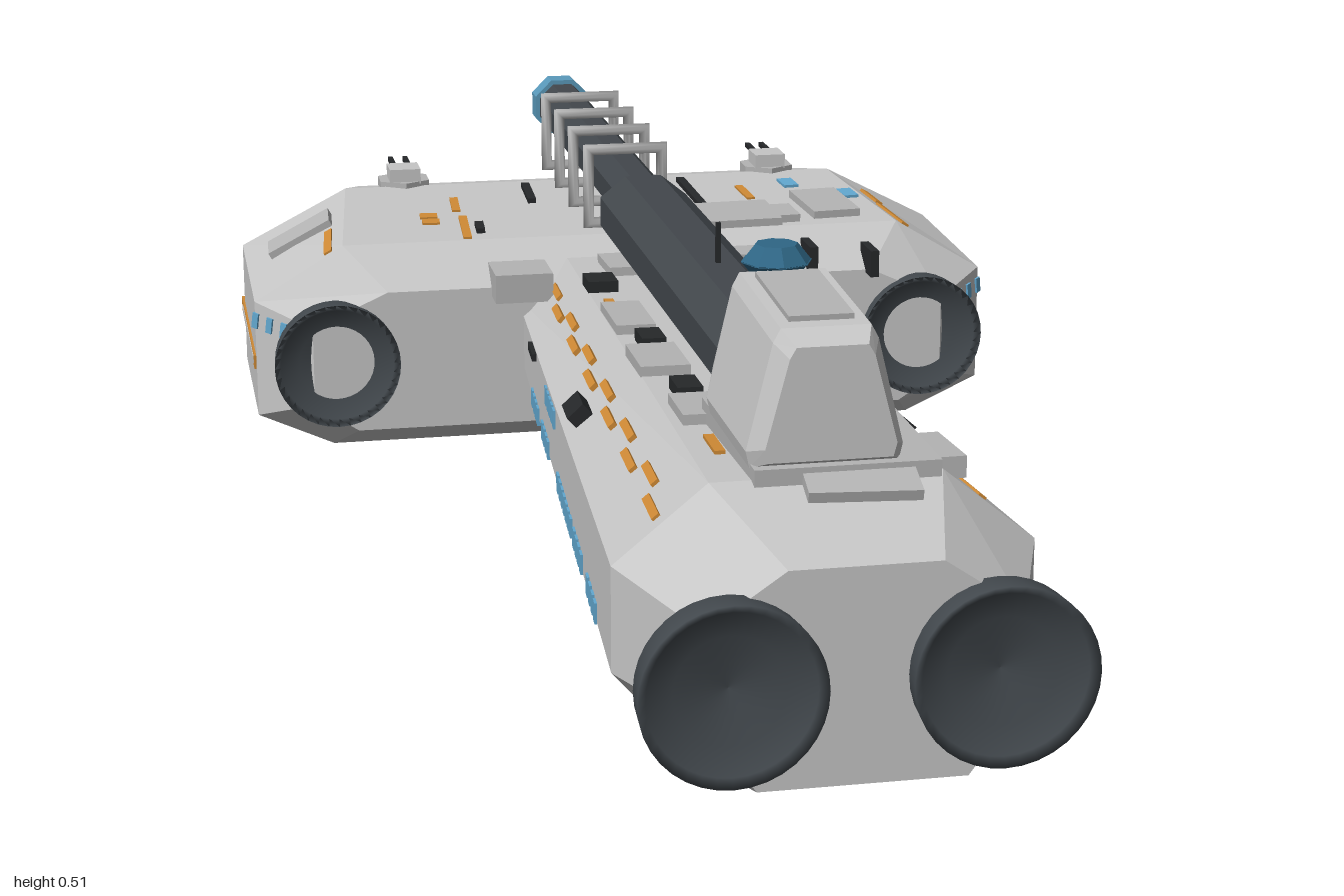
import * as THREE from 'three';

const mat = (name, color, extra = {}) => {
  const m = new THREE.MeshStandardMaterial({ color, ...extra });
  m.name = name;
  return m;
};

// Eight-sided section: half widths and heights listed from bottom to top
const oct = (z, [b, l, u, t], [yb, yl, yu, yt]) => [
  [l, yl], [u, yu], [t, yt], [-t, yt], [-u, yu], [-l, yl], [-b, yb], [b, yb],
].map(([x, y]) => new THREE.Vector3(x, y, z));

// Skin a list of sections ordered from front to back, with flat end caps
function loft(rings) {
  const pos = [];
  const tri = (...pts) => pts.forEach((p) => pos.push(p.x, p.y, p.z));
  const n = rings[0].length;
  for (let r = 0; r < rings.length - 1; r++) {
    const a = rings[r], b = rings[r + 1];
    for (let i = 0; i < n; i++) {
      const j = (i + 1) % n;
      tri(a[i], b[i], b[j]);
      tri(a[i], b[j], a[j]);
    }
  }
  const f = rings[0], e = rings[rings.length - 1];
  for (let i = 1; i < n - 1; i++) {
    tri(f[0], f[i], f[i + 1]);
    tri(e[0], e[i + 1], e[i]);
  }
  const g = new THREE.BufferGeometry();
  g.setAttribute('position', new THREE.Float32BufferAttribute(pos, 3));
  g.computeVertexNormals();
  return g;
}

// Point and orientation on a hull side at depth z, u across that side
function patch(rings, edge, z, u) {
  let r = 0;
  while (r < rings.length - 2 && rings[r + 1][0].z > z) r++;
  const a = rings[r], b = rings[r + 1], j = (edge + 1) % 8;
  const t = (z - a[0].z) / (b[0].z - a[0].z);
  const p = a[edge].clone().lerp(b[edge], t), q = a[j].clone().lerp(b[j], t);
  const Z = a[edge].clone().lerp(a[j], u).sub(b[edge].clone().lerp(b[j], u)).normalize();
  const Y = Z.clone().cross(p.clone().sub(q)).normalize();
  const X = Y.clone().cross(Z);
  return { p, q, at: p.clone().lerp(q, u), m: new THREE.Matrix4().makeBasis(X, Y, Z) };
}

export function createModel() {
  const root = new THREE.Group();
  root.name = 'spaceship';
  const hull = mat('hull grey', 0xc6c6c6);
  const panel = mat('panel grey', 0xb4b4b4);
  const gun = mat('gunmetal', 0x42474c);
  const nozzle = mat('nozzle grey', 0x42484d, { side: THREE.DoubleSide });
  const black = mat('black', 0x26282a);
  const blue = mat('window blue', 0x62a8d0);
  const teal = mat('muzzle blue', 0x5a9abc);
  const navy = mat('dome blue', 0x2f6685);
  const orange = mat('stripe orange', 0xcf8a35);

  const add = (name, geo, m, x = 0, y = 0, z = 0) => {
    const mesh = new THREE.Mesh(geo, m);
    mesh.name = name;
    mesh.position.set(x, y, z);
    root.add(mesh);
    return mesh;
  };
  const box = (name, m, w, h, d, x, y, z) => add(name, new THREE.BoxGeometry(w, h, d), m, x, y, z);
  // Box lying on a hull side: across, thickness, along
  const onSide = (name, m, rings, edge, z, u, w, h, d) => {
    const f = patch(rings, edge, z, u);
    const b = box(name, m, w, h, d, f.at.x, f.at.y, f.at.z);
    b.quaternion.setFromRotationMatrix(f.m);
    return b;
  };
  // Box lying on the upper sides, found by x and z
  const onTop = (name, m, rings, x, z, w, h, d) => {
    for (const e of [1, 2, 3]) {
      const { p, q } = patch(rings, e, z, 0.5);
      if (x <= p.x && x >= q.x) return onSide(name, m, rings, e, z, (p.x - x) / (p.x - q.x), w, h, d);
    }
  };

  // Hulls
  const spine = [
    oct(0.97, [0.11, 0.165, 0.165, 0.08], [0.05, 0.125, 0.225, 0.283]),
    oct(0.8, [0.13, 0.228, 0.228, 0.125], [0.01, 0.12, 0.238, 0.322]),
    oct(-0.45, [0.09, 0.148, 0.148, 0.085], [0.05, 0.13, 0.2, 0.272]),
  ];
  const block = [
    oct(-0.33, [0.39, 0.45, 0.45, 0.345], [0.05, 0.09, 0.2, 0.247]),
    oct(-0.4, [0.42, 0.525, 0.525, 0.4], [0.012, 0.06, 0.225, 0.3]),
    oct(-0.7, [0.42, 0.525, 0.525, 0.37], [0.012, 0.06, 0.235, 0.315]),
    oct(-0.825, [0.4, 0.48, 0.48, 0.34], [0.035, 0.08, 0.225, 0.29]),
  ];
  add('spineHull', loft(spine), hull);
  add('rearHull', loft(block), hull);

  // Engine bells, open to the front with a shallow dish inside
  const bell = (x, y, z, r) => {
    const pts = [[0, -0.12], [0.62, -0.12], [0.66, -0.1], [0.86, -0.065], [0.97, -0.04], [1, 0],
      [0.9, -0.008], [0.6, -0.02], [0, -0.03]].map(([a, h]) => new THREE.Vector2(a * r, h));
    add('engineBell', new THREE.LatheGeometry(pts, 36), nozzle, x, y, z).rotation.x = Math.PI / 2;
  };
  for (const s of [-1, 1]) {
    bell(s * 0.14, 0.165, 1, 0.097);
    bell(s * 0.418, 0.15, -0.31, 0.087);
  }

  // Main gun
  const tube = (name, m, r, sides, z0, z1, y, sy = 1) => {
    const g = new THREE.CylinderGeometry(r, r, z0 - z1, sides).toNonIndexed();
    g.rotateY(Math.PI / sides).rotateX(Math.PI / 2).scale(1, sy, 1);
    g.computeVertexNormals();
    return add(name, g, m, 0, y, (z0 + z1) / 2);
  };
  tube('gunSleeve', gun, 0.064, 8, 0.6, -0.25, 0.368, 0.8);
  tube('gunBarrel', gun, 0.039, 8, -0.25, -0.965, 0.376);
  tube('gunMuzzle', teal, 0.046, 8, -0.96, -1, 0.376);
  for (const z of [-0.39, -0.525, -0.655, -0.785]) {
    const g = new THREE.TorusGeometry(0.074, 0.011, 8, 4).rotateZ(Math.PI / 4);
    add('barrelFrame', g, panel, 0, 0.372, z);
  }
  add('turret', loft([
    oct(0.82, [0.066, 0.07, 0.045, 0.038], [0.345, 0.36, 0.455, 0.467]),
    oct(0.79, [0.08, 0.084, 0.056, 0.048], [0.332, 0.35, 0.465, 0.48]),
    oct(0.59, [0.08, 0.084, 0.056, 0.048], [0.332, 0.35, 0.475, 0.49]),
    oct(0.53, [0.06, 0.064, 0.046, 0.038], [0.36, 0.37, 0.445, 0.455]),
  ]), hull);
  box('turretRoof', panel, 0.07, 0.008, 0.16, 0, 0.487, 0.69).rotation.x = 0.05;
  box('turretBase', panel, 0.2, 0.03, 0.27, 0.02, 0.322, 0.68);
  const dome = new THREE.CylinderGeometry(0.024, 0.04, 0.02, 8).toNonIndexed();
  dome.computeVertexNormals();
  add('sensorDome', dome, navy, 0, 0.503, 0.56);
  const domeBase = new THREE.CylinderGeometry(0.04, 0.025, 0.018, 8).toNonIndexed();
  domeBase.computeVertexNormals();
  add('sensorBase', domeBase, navy, 0, 0.485, 0.56);
  box('antenna', black, 0.006, 0.06, 0.006, 0, 0.435, 0.25);

  // Window rows and dashed stripes on both flanks of the spine
  const rows = [[0.65, 4, 0.1], [0.495, 4, 0.1], [0.37, 7, 0.1], [0.065, 4, 0.08], [-0.09, 4, 0.05], [0.155, 5, 0.82]];
  for (const edge of [0, 4]) {
    const flip = (u) => (edge === 0 ? u : 1 - u);
    for (const [z, n, u] of rows)
      for (let i = 0; i < n; i++)
        onSide('window', blue, spine, edge, z - i * 0.027, flip(u), 0.024, 0.006, 0.017);
    for (let i = 0; i < 12; i++)
      onSide('spineStripe', orange, spine, edge ? 3 : 1, 0.74 - i * 0.092, flip(i % 2 ? 0.62 : 0.5), 0.01, 0.006, 0.075);
    onSide('flankHatch', black, spine, edge ? 3 : 1, 0.27, flip(0.25), 0.026, 0.03, 0.065);
    onSide('flankVent', black, spine, edge, -0.15, flip(0.92), 0.01, 0.012, 0.07);
    onSide('flankPort', panel, spine, edge ? 5 : 7, 0.48, edge ? 0.2 : 0.8, 0.015, 0.01, 0.04);
    for (let i = 0; i < 3; i++)
      onSide('rearWindow', blue, block, edge, -0.365 - i * 0.017, flip(0.84), 0.022, 0.006, 0.01);
    // Side stripe with an inset panel
    onSide('sideStripe', orange, block, edge, -0.57, 0.55, 0.02, 0.006, 0.32);
    onSide('sideStripePanel', hull, block, edge, -0.56, 0.55, 0.01, 0.008, 0.27);
  }

  // Raised plates and dark equipment on the spine: x, z, width, length
  for (const [x, z, w, d] of [
    [0.1, -0.04, 0.07, 0.09], [0.09, -0.2, 0.06, 0.1], [0.105, 0.1, 0.06, 0.06], [0.105, 0.21, 0.09, 0.16],
    [0.1, 0.4, 0.07, 0.12], [0.11, 0.75, 0.08, 0.1], [0.03, 0.83, 0.12, 0.05], [-0.08, 0.28, 0.06, 0.12],
    [-0.075, 0.05, 0.05, 0.14], [-0.08, 0.52, 0.05, 0.1], [0.1, 0.6, 0.05, 0.09], [0, -0.28, 0.1, 0.1],
  ]) onTop('spinePlate', panel, spine, x, z, w, 0.024, d);
  for (const [x, z, w, d] of [
    [0.165, 0.26, 0.03, 0.06], [0.09, 0.44, 0.04, 0.05], [-0.075, -0.16, 0.04, 0.06], [0.13, -0.16, 0.04, 0.07],
    [0.13, 0.57, 0.015, 0.1], [-0.07, 0.18, 0.03, 0.06], [-0.075, 0.43, 0.03, 0.06], [0.1, 0.66, 0.04, 0.05],
  ]) onTop('spineEquipment', black, spine, x, z, w, 0.03, d);
  for (const [x, z] of [[0.04, -0.1], [-0.08, -0.04], [0.07, 0.07], [-0.09, 0.66]])
    onTop('shortStripe', orange, spine, x, z, 0.012, 0.008, 0.07);

  // Rear hull deck details
  for (const [x, z, w, d] of [[-0.445, -0.57, 0.1, 0.065], [0.315, -0.49, 0.07, 0.12],
    [0.15, -0.45, 0.16, 0.1], [0.22, -0.445, 0.08, 0.06]])
    onTop('deckPlate', panel, block, x, z, w, 0.022, d);
  box('ledgeBlock', panel, 0.08, 0.04, 0.1, -0.16, 0.255, -0.335);
  box('ledgeBlock', panel, 0.1, 0.04, 0.08, 0.19, 0.26, -0.36);
  for (const [x, z, d] of [[-0.105, -0.62, 0.09], [0.135, -0.58, 0.16], [-0.2, -0.45, 0.04]])
    onTop('deckVent', black, block, x, z, 0.012, 0.014, d);
  for (const [x, y, z] of [[0.258, 0.268, -0.345], [0.343, 0.262, -0.33]])
    box('ledgePost', black, 0.012, 0.038, 0.06, x, y, z);
  for (const x of [-0.415, -0.22, 0.215, 0.41])
    for (const [z, d] of [[-0.58, 0.07], [-0.46, 0.11]])
      onTop('deckStripe', orange, block, x, z, 0.012, 0.006, d);
  for (const z of [-0.525, -0.495]) onTop('deckMark', orange, block, -0.265, z, 0.025, 0.006, 0.022);
  for (const [x, z] of [[0.29, -0.62], [0.365, -0.55]]) onTop('deckLight', blue, block, x, z, 0.022, 0.008, 0.04);

  // Twin-barrel point-defence guns
  for (const s of [-1, 1]) {
    const g = new THREE.CylinderGeometry(0.042, 0.042, 0.016, 6).toNonIndexed();
    g.computeVertexNormals();
    add('smallGunBase', g, panel, s * 0.28, 0.314, -0.725);
    box('smallGunBody', hull, 0.046, 0.022, 0.05, s * 0.28, 0.33, -0.72);
    for (const dx of [-0.011, 0.011]) box('smallGunBarrel', black, 0.007, 0.007, 0.08, s * 0.28 + dx, 0.334, -0.77);
  }

  // Belly fittings
  box('bellyHatch', black, 0.045, 0.014, 0.07, 0.07, 0.007, 0.78);
  box('bellyVent', black, 0.02, 0.012, 0.11, 0.05, 0.034, 0.06);
  box('bellyPort', panel, 0.04, 0.012, 0.04, -0.05, 0.022, 0.5);
  return root;
}
